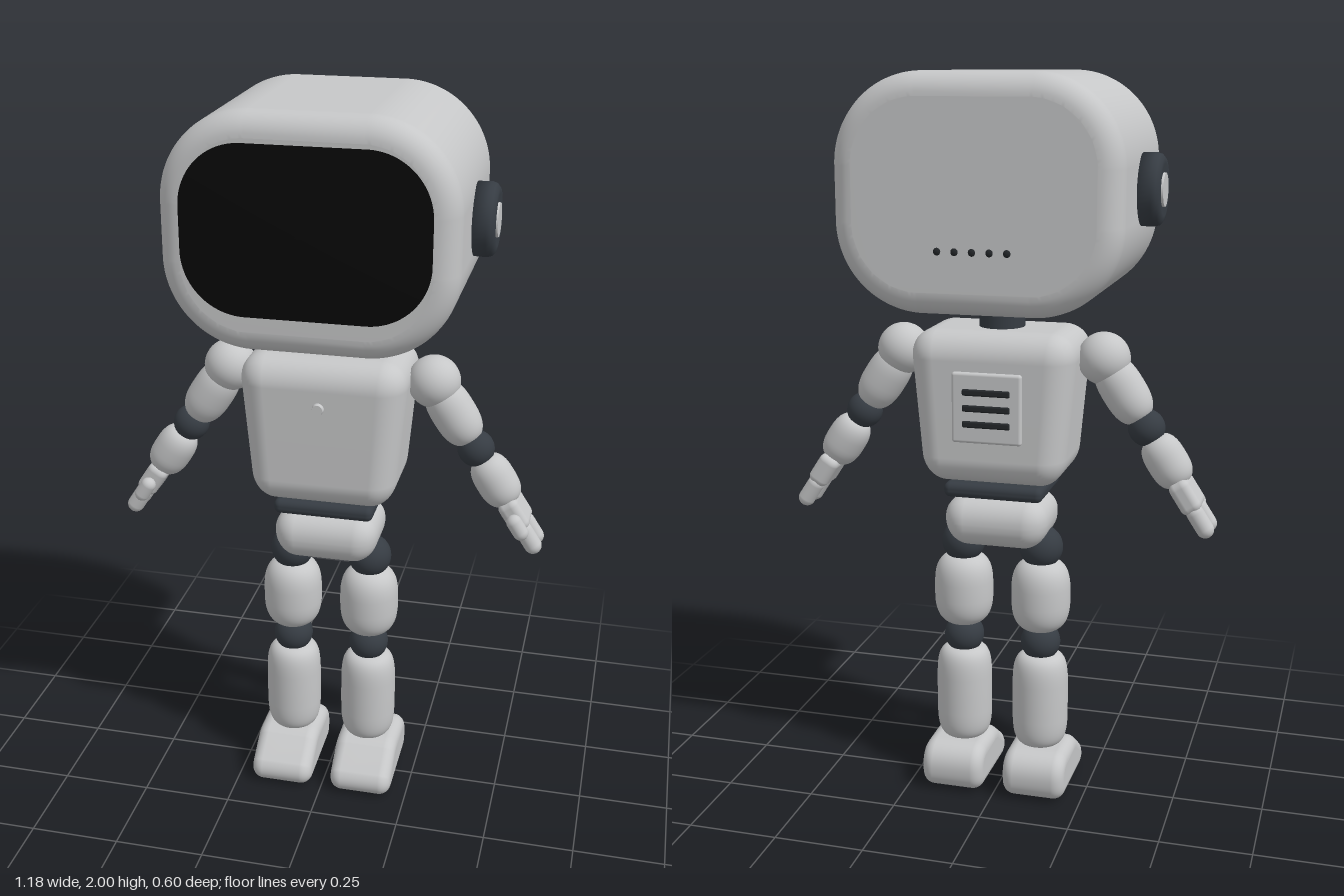
import * as THREE from 'three';
import { mergeVertices } from 'three/addons/utils/BufferGeometryUtils.js';
import { RoundedBoxGeometry } from 'three/addons/geometries/RoundedBoxGeometry.js';

const mat = (name, color, side = THREE.FrontSide) => {
  const m = new THREE.MeshStandardMaterial({ color, side });
  m.name = name;
  return m;
};

// Weld a geometry and give it smooth normals
function smooth(geo) {
  geo.deleteAttribute('uv');
  geo.deleteAttribute('normal');
  const g = mergeVertices(geo, 1e-5);
  g.computeVertexNormals();
  return g;
}

function roundedRect(hw, hh, r) {
  const s = new THREE.Shape();
  s.moveTo(hw, -hh + r);
  s.absarc(hw - r, hh - r, r, 0, Math.PI / 2);
  s.absarc(-hw + r, hh - r, r, Math.PI / 2, Math.PI);
  s.absarc(-hw + r, -hh + r, r, Math.PI, Math.PI * 1.5);
  s.absarc(hw - r, -hh + r, r, Math.PI * 1.5, Math.PI * 2);
  return s;
}

// Extruded outline with rounded rims, centred on its depth
function softExtrude(shape, depth, bevel) {
  const g = new THREE.ExtrudeGeometry(shape, {
    depth: depth - 2 * bevel, bevelEnabled: true, bevelSize: bevel,
    bevelThickness: bevel, bevelSegments: 8, curveSegments: 20,
  });
  g.translate(0, 0, -(depth / 2 - bevel));
  return smooth(g);
}

// Rounded limb segment: superellipse turned around y
function barrel(r, length, n = 3) {
  const pts = [];
  for (let i = 0; i <= 28; i++) {
    const a = -Math.PI / 2 + (Math.PI * i) / 28;
    const c = Math.max(0, Math.cos(a)), s = Math.sin(a);
    pts.push(new THREE.Vector2(
      i % 28 === 0 ? 0 : r * c ** (2 / n),
      Math.sign(s) * (length / 2) * Math.abs(s) ** (2 / n)));
  }
  return new THREE.LatheGeometry(pts, 32);
}

// Slightly domed plate with a rounded outline, built from scaled rings
function domedPlate(hw, hh, r, rise) {
  const ring = roundedRect(hw, hh, r).getPoints(14);
  ring.pop();
  const n = ring.length, rings = 10, pos = [0, 0, rise], idx = [];
  for (let k = 1; k <= rings; k++) {
    const t = k / rings;
    for (const p of ring) pos.push(p.x * t, p.y * t, rise * (1 - t * t));
  }
  for (let i = 0; i < n; i++) {
    const j = (i + 1) % n;
    idx.push(0, 1 + i, 1 + j);
    for (let k = 0; k < rings - 1; k++) {
      const a = 1 + k * n, b = a + n;
      idx.push(a + i, b + i, b + j, a + i, b + j, a + j);
    }
  }
  const g = new THREE.BufferGeometry();
  g.setAttribute('position', new THREE.Float32BufferAttribute(pos, 3));
  g.setIndex(idx);
  g.computeVertexNormals();
  return g;
}

export function createModel() {
  const shell = mat('light grey shell', 0xc6c7c8);
  const joint = mat('dark slate joints', 0x363c43);
  const glass = mat('black visor', 0x080808, THREE.DoubleSide);
  const vent = mat('charcoal vents', 0x24272a);

  const model = new THREE.Group();
  model.name = 'robot';
  const Z = -0.008;
  const add = (parent, name, geo, material, x = 0, y = 0, z = 0) => {
    const m = new THREE.Mesh(geo, material);
    m.name = name;
    m.position.set(x, y, z);
    parent.add(m);
    return m;
  };
  const box = (w, h, d, r) => new RoundedBoxGeometry(w, h, d, 6, r);
  const ball = (r) => new THREE.SphereGeometry(r, 32, 20);

  // Head
  add(model, 'head', softExtrude(roundedRect(0.314, 0.24, 0.17), 0.575, 0.06), shell, 0, 1.7, Z);
  add(model, 'visor', domedPlate(0.312, 0.214, 0.16, 0.018), glass, 0, 1.715, 0.282);
  for (let i = -2; i <= 2; i++) {
    add(model, 'headVent', new THREE.SphereGeometry(0.012, 16, 10), vent, i * 0.045, 1.565, -0.29)
      .scale.z = 0.8;
  }

  // Ears: soft-rimmed disc with a small cap
  const earProfile = [[0, -0.035], [0.093, -0.035], [0.094, 0.008], [0.09, 0.02], [0.08, 0.028],
    [0.066, 0.03], [0.05, 0.026], [0, 0.026]].map(([x, y]) => new THREE.Vector2(x, y));
  for (const s of [-1, 1]) {
    const ear = add(model, 'ear', new THREE.LatheGeometry(earProfile, 40), joint, s * 0.4, 1.705, Z);
    ear.rotation.z = -s * Math.PI / 2;
    add(ear, 'earCap', new THREE.CylinderGeometry(0.043, 0.046, 0.02, 32), shell, 0, 0.022, 0);
  }

  // Neck
  add(model, 'neck', new THREE.CylinderGeometry(0.062, 0.062, 0.12, 32), joint, 0, 1.37, Z);

  // Torso, narrowing downwards
  const torso = box(0.46, 0.415, 0.305, 0.075);
  const p = torso.attributes.position;
  for (let i = 0; i < p.count; i++) p.setX(i, p.getX(i) * (0.92 + 0.4 * p.getY(i)));
  add(model, 'torso', smooth(torso), shell, 0, 1.128, Z);
  const button = add(model, 'chestButton', new THREE.CylinderGeometry(0.014, 0.017, 0.014, 24), shell, 0, 1.215, 0.148);
  button.rotation.x = Math.PI / 2;

  // Back panel with slots
  add(model, 'backPanel', box(0.19, 0.19, 0.02, 0.008), shell, 0, 1.14, -0.162);
  for (let i = -1; i <= 1; i++) {
    add(model, 'backSlot', box(0.13, 0.018, 0.012, 0.005), vent, 0, 1.14 + i * 0.043, -0.171);
  }

  // Waist and pelvis
  add(model, 'waistCore', new THREE.CylinderGeometry(0.07, 0.07, 0.1, 32), joint, 0, 0.895, Z);
  add(model, 'waistPlate', box(0.276, 0.042, 0.222, 0.018), joint, 0, 0.895, Z);
  const pelvis = box(0.3, 0.138, 0.235, 0.066);
  const q = pelvis.attributes.position;
  for (let i = 0; i < q.count; i++) q.setX(i, q.getX(i) * (0.96 + 0.6 * q.getY(i)));
  add(model, 'pelvis', smooth(pelvis), shell, 0, 0.8, Z);

  // Foot profile: heel, sole, sloping toe, instep
  const foot = new THREE.Shape();
  foot.moveTo(-0.095, 0.035);
  foot.lineTo(0.105, 0.03);
  foot.quadraticCurveTo(0.125, 0.032, 0.112, 0.048);
  foot.lineTo(0.05, 0.092);
  foot.quadraticCurveTo(0.035, 0.1, 0.015, 0.1);
  foot.lineTo(-0.07, 0.1);
  foot.quadraticCurveTo(-0.108, 0.1, -0.108, 0.065);
  foot.quadraticCurveTo(-0.108, 0.035, -0.095, 0.035);
  const footGeo = softExtrude(foot, 0.178, 0.033);
  footGeo.rotateY(-Math.PI / 2);

  for (const s of [-1, 1]) {
    // Leg
    const leg = new THREE.Group();
    leg.name = s > 0 ? 'leftLeg' : 'rightLeg';
    leg.position.set(s * 0.112, 0, Z);
    model.add(leg);
    add(leg, 'hipBall', ball(0.061), joint, 0, 0.72);
    add(leg, 'thigh', barrel(0.083, 0.212, 3), shell, 0, 0.58);
    add(leg, 'kneeBall', ball(0.056), joint, 0, 0.44);
    add(leg, 'shin', barrel(0.079, 0.28, 4.5), shell, 0, 0.268);
    add(leg, 'foot', footGeo, shell, s * 0.006, 0.003, 0.01);

    // Arm, hanging along its own -y and swung outwards
    const arm = new THREE.Group();
    arm.name = s > 0 ? 'leftArm' : 'rightArm';
    arm.position.set(s * 0.28, 1.26, Z);
    arm.rotation.z = s * 0.578;
    model.add(arm);
    add(arm, 'shoulderBall', ball(0.071), shell);
    add(arm, 'upperArm', barrel(0.06, 0.19, 2.7), shell, 0, -0.1);
    add(arm, 'elbowBall', ball(0.05), joint, 0, -0.217);
    add(arm, 'forearm', barrel(0.056, 0.15, 2.8), shell, 0, -0.322);
    add(arm, 'palm', box(0.058, 0.095, 0.108, 0.02), shell, 0, -0.425, -0.004);
    for (const z of [-0.034, 0.026]) {
      add(arm, 'finger', new THREE.CapsuleGeometry(0.024, 0.05, 8, 20), shell, 0, -0.502, z);
    }
    add(arm, 'thumb', new THREE.CapsuleGeometry(0.021, 0.035, 8, 20), shell, 0, -0.45, 0.058);
  }
  return model;
}
